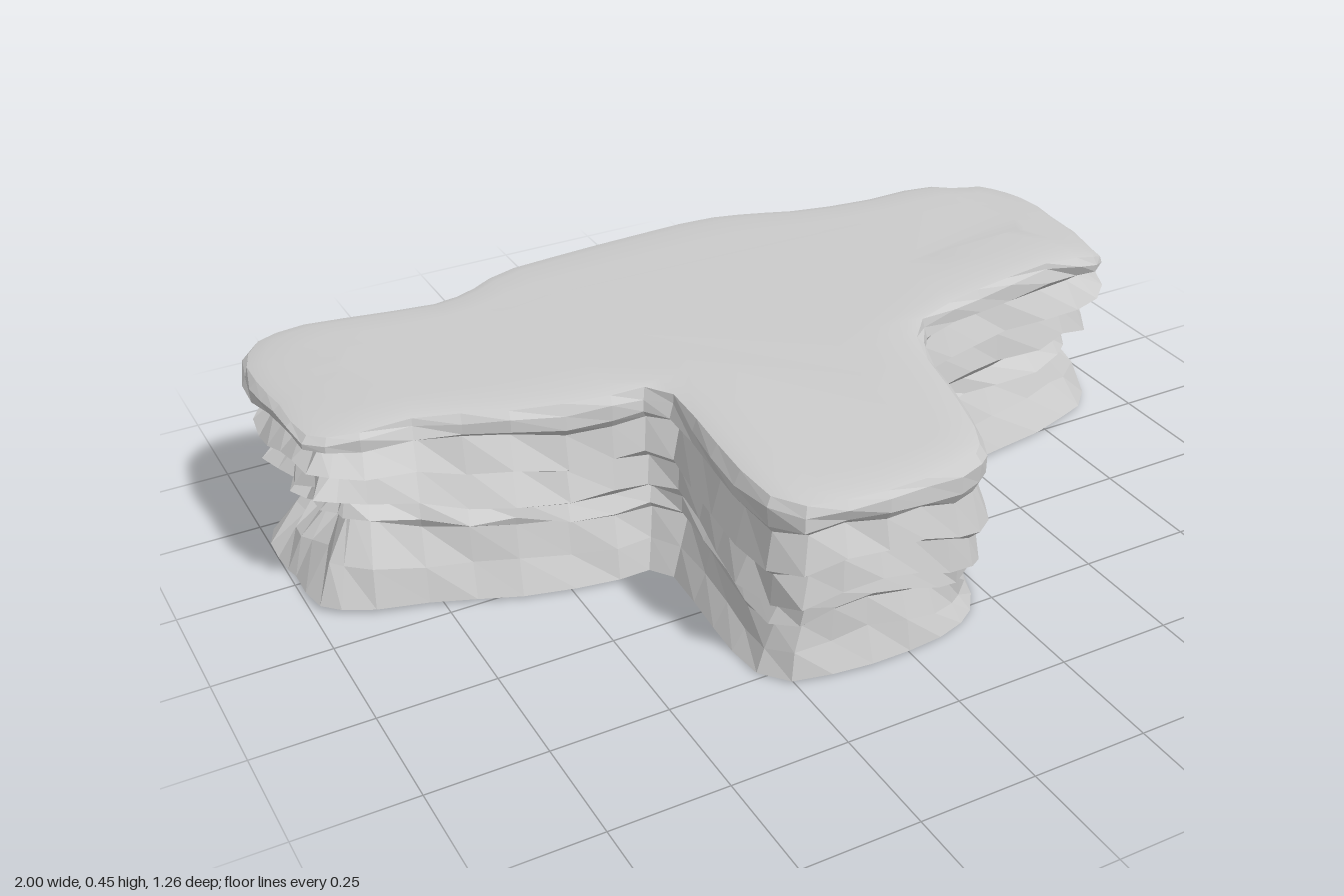
import * as THREE from 'three';

// plan outline as x, z pairs, running along the back, right end, nose and left end
const OUTLINE = [
  -0.94, -0.565, -0.85, -0.575, -0.7, -0.55, -0.54, -0.525, -0.46, -0.55, -0.37, -0.6, -0.2, -0.62,
  0, -0.63, 0.17, -0.63, 0.28, -0.6, 0.38, -0.56, 0.55, -0.53, 0.72, -0.53, 0.8, -0.505, 0.89, -0.52,
  0.97, -0.47, 1, -0.4, 0.985, -0.27, 0.965, -0.15, 0.9, -0.02, 0.8, 0, 0.6, 0.03, 0.45, 0.06,
  0.31, 0.12, 0.28, 0.25, 0.25, 0.4, 0.2, 0.54, 0.13, 0.595, 0, 0.62, -0.15, 0.615, -0.28, 0.57,
  -0.31, 0.4, -0.3, 0.23, -0.31, 0.08, -0.42, 0.07, -0.6, 0.03, -0.75, -0.03, -0.92, -0.05,
  -0.985, -0.11, -0.99, -0.25, -1, -0.36, -0.995, -0.48,
];

// strata: height and distance moved outwards (negative is inwards)
const STRATA = [
  [0.012, 0], [0.08, -0.022], [0.15, -0.045], [0.168, -0.024], [0.205, -0.042], [0.225, -0.012],
  [0.29, -0.032], [0.31, 0], [0.375, -0.024], [0.395, 0], [0.425, -0.003], [0.442, -0.015],
];
const N = 72;
const step = THREE.MathUtils.smoothstep;

function seeded(seed) {
  return () => {
    seed = (seed * 16807) % 2147483647;
    return seed / 2147483647 - 0.5;
  };
}

// outline points with their outward directions
function outline() {
  const ctrl = [];
  for (let i = 0; i < OUTLINE.length; i += 2) ctrl.push(new THREE.Vector3(OUTLINE[i], 0, OUTLINE[i + 1]));
  const pts = new THREE.CatmullRomCurve3(ctrl, true).getPoints(N).slice(0, N);
  return pts.map((p, i) => {
    const t = pts[(i + 2) % N].clone().sub(pts[(i + N - 2) % N]).normalize();
    return { p, n: new THREE.Vector3(t.z, 0, -t.x) };
  });
}

// folding of the strata: an arch across the nose and waves along the wings
function fold(x, z) {
  const nose = step(z, 0.05, 0.5);
  const end = step(Math.abs(x), 0.7, 1);
  const arch = -0.035 + 0.042 * Math.cos(9 * (x + 0.1));
  const wing = 0.006 + 0.014 * Math.sin(5 * x) + end * 0.035 * Math.cos((z + 0.1) * 10);
  return nose * arch + (1 - nose) * wing;
}

// gentle swell of the top, sinking towards the wing ends
function swell(x, z) {
  return 0.008 * Math.cos(4 * z) - 0.045 * step(x, 0.7, 1) - 0.015 * step(-x, 0.8, 1);
}

function place({ p, n }, y, out) {
  const end = step(Math.abs(p.x), 0.7, 1);
  const low = 1 - step(y, 0.05, 0.3);
  const high = step(y, 0.36, 0.44);
  // ledges cut deeper on the wings and along the back
  const cut = 1.2 * end + 0.7 * step(-p.z, 0.4, 0.55) + 0.4 * step(Math.abs(p.x), 0.35, 0.6);
  const v = p.clone().addScaledVector(n, out * (1 + cut * (1 - high)));
  v.z += (-0.32 - v.z) * 0.16 * end * low;
  if (v.z > 0.3) v.z -= 0.045 * low * step(v.z, 0.3, 0.6);
  if (v.z < -0.3) v.z += 0.02 * low;
  // the top slab draws back at the right end and along one side of the nose
  v.x -= high * (0.03 * step(p.x, 0.85, 1) + 0.025 * step(p.z, 0.1, 0.25) * step(p.x, 0.1, 0.25));
  v.y = y + Math.sin(Math.PI * Math.min(1, y / 0.45)) * fold(p.x, p.z);
  v.y += swell(p.x, p.z) * step(y, 0.3, 0.44);
  return v;
}

// nearest point on the T-shaped spine of the plan
function spine(v) {
  const wing = new THREE.Vector3(THREE.MathUtils.clamp(v.x, -0.72, 0.72), v.y, -0.28);
  const nose = new THREE.Vector3(-0.03, v.y, THREE.MathUtils.clamp(v.z, -0.28, 0.35));
  return wing.distanceTo(v) < nose.distanceTo(v) ? wing : nose;
}

function ringIndices(rows) {
  const idx = [];
  for (let r = 0; r < rows - 1; r++)
    for (let i = 0; i < N; i++) {
      const j = (i + 1) % N, a = r * N + i, b = r * N + j;
      idx.push(a, a + N, b + N, a, b + N, b);
    }
  return idx;
}

// flat fill of one closed ring, facing up or down
function fillIndices(ring, start, up) {
  const flat = ring.map((v) => new THREE.Vector2(v.x, -v.z));
  return THREE.ShapeUtils.triangulateShape(flat, []).flatMap(([a, b, c]) => {
    const ccw = THREE.ShapeUtils.area([flat[a], flat[b], flat[c]]) > 0;
    return (ccw === up ? [a, b, c] : [a, c, b]).map((k) => k + start);
  });
}

function mesh(name, points, index, flatShading) {
  const geo = new THREE.BufferGeometry().setFromPoints(points);
  geo.setIndex(index);
  geo.computeVertexNormals();
  const m = new THREE.Mesh(geo, new THREE.MeshStandardMaterial({ color: 0xcccccc, flatShading }));
  m.name = name;
  return m;
}

export function createModel() {
  const group = new THREE.Group();
  group.name = 'rockLedge';
  const base = outline();
  const rand = seeded(77);

  // layered cliff sides, roughened except along the top and bottom edges
  const last = STRATA.length - 1;
  const rings = STRATA.map(([y, out], r) => base.map((b) => {
    const rough = r === 0 || r === last ? 0 : 1;
    return place(b, y + rand() * 0.012 * rough, Math.min(0, out + rand() * 0.02 * rough));
  }));
  group.add(mesh('cliffSides', rings.flat(), ringIndices(rings.length), true));

  // underside
  group.add(mesh('underside', rings[0], fillIndices(rings[0], 0, false), true));

  // smooth walking surface, drawn in from the rim towards the spine
  const rim = rings[last];
  const caps = [0, 0.12, 0.35, 0.6].map((t) => rim.map((v) => {
    const q = v.clone().lerp(spine(v), t);
    if (t > 0) q.y = 0.45 + swell(q.x, q.z);
    return q;
  }));
  const inner = caps.length - 1;
  const index = [...ringIndices(caps.length), ...fillIndices(caps[inner], inner * N, true)];
  group.add(mesh('topSurface', caps.flat(), index, false));

  // rest the lowest point just above the ground
  const box = new THREE.Box3().setFromObject(group);
  group.children.forEach((m) => m.geometry.translate(0, -box.min.y + 0.006, 0));
  return group;
}
